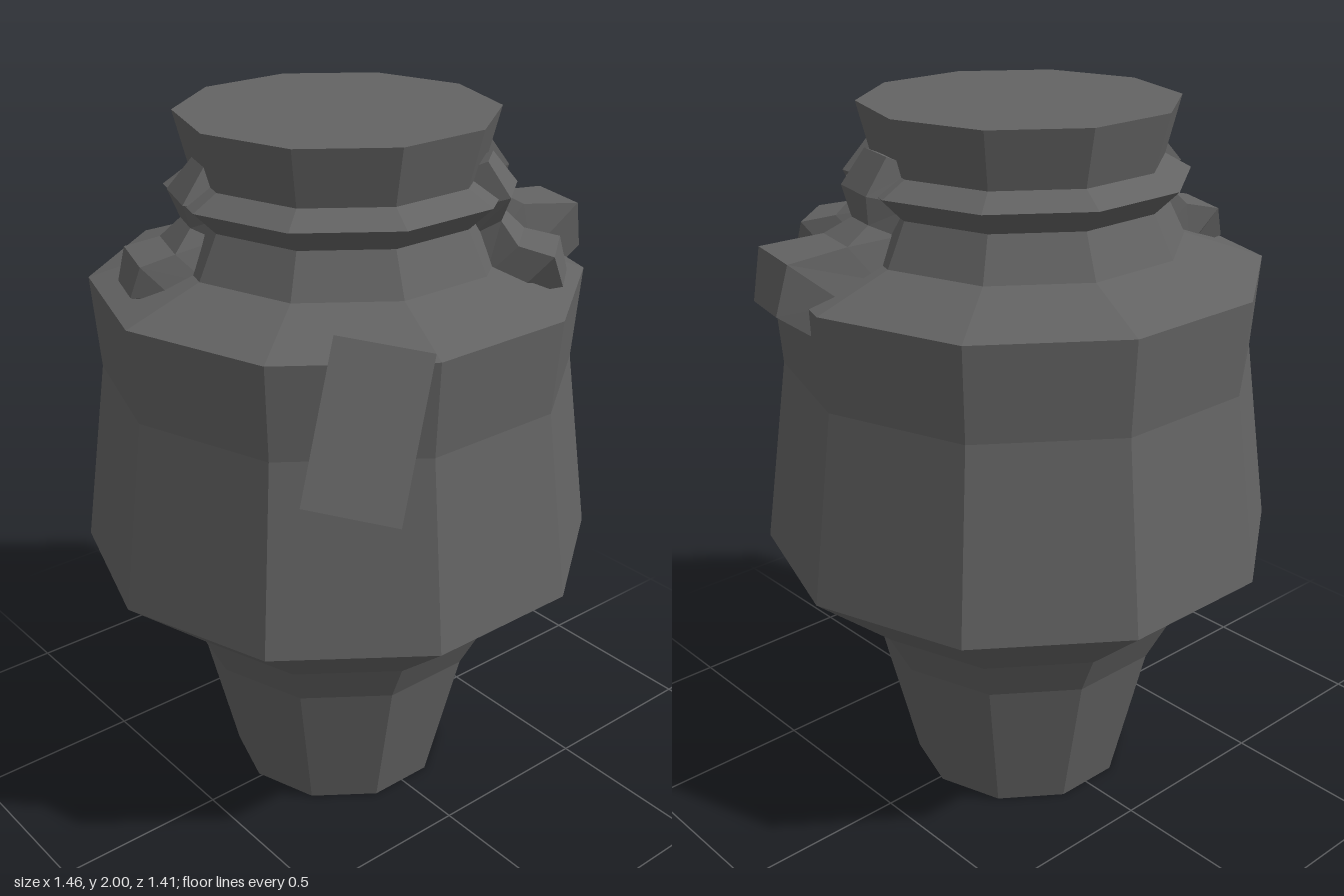
import * as THREE from 'three';

const material = new THREE.MeshStandardMaterial({ color: 0x636363, flatShading: true, side: THREE.DoubleSide });

function addMesh(group, geometry, name) {
  const mesh = new THREE.Mesh(geometry, material);
  mesh.name = name;
  group.add(mesh);
  return mesh;
}

// Skin four-cornered sections [outerR, outerY, innerR, innerY, halfWidth], listed from top to bottom
function loft(sections) {
  const positions = [];
  const index = [];
  for (const [ro, yo, ri, yi, w] of sections) {
    positions.push(ro, yo, w, ro, yo, -w, ri, yi, -w, ri, yi, w);
  }
  for (let s = 0; s < sections.length - 1; s++) {
    for (let k = 0; k < 4; k++) {
      const a = s * 4 + k, b = s * 4 + (k + 1) % 4;
      index.push(a, a + 4, b, b, a + 4, b + 4);
    }
  }
  const e = (sections.length - 1) * 4;
  index.push(0, 1, 2, 0, 2, 3, e, e + 2, e + 1, e, e + 3, e + 2);
  const geometry = new THREE.BufferGeometry();
  geometry.setAttribute('position', new THREE.Float32BufferAttribute(positions, 3));
  geometry.setIndex(index);
  geometry.computeVertexNormals();
  return geometry;
}

export function createModel() {
  const model = new THREE.Group();
  model.name = 'jar';

  // Ten-sided jar body with foot, shoulder, collar ring and flat lid
  const profile = [
    [0, 0], [0.315, 0], [0.42, 0.43], [0.485, 0.555], [0.728, 0.76], [0.655, 1.29], [0.675, 1.55],
    [0.452, 1.625], [0.395, 1.74], [0.462, 1.805], [0.39, 1.845], [0.43, 2], [0, 2],
  ].map(([r, y]) => new THREE.Vector2(r, y));
  const body = addMesh(model, new THREE.LatheGeometry(profile, 10, Math.PI / 2), 'body');
  body.position.set(-0.004, 0, -0.012);

  // Knots hanging over the collar: upper block, narrow waist, lower block bent down
  const largeKnot = [
    [0.41, 1.9, 0.32, 1.86, 0.065], [0.475, 1.81, 0.34, 1.77, 0.075], [0.46, 1.73, 0.38, 1.69, 0.05],
    [0.53, 1.69, 0.45, 1.59, 0.075], [0.7, 1.675, 0.55, 1.55, 0.095], [0.73, 1.54, 0.6, 1.445, 0.075],
  ];
  const smallKnot = [
    [0.39, 1.895, 0.31, 1.86, 0.055], [0.455, 1.81, 0.33, 1.77, 0.08], [0.43, 1.74, 0.36, 1.7, 0.05],
    [0.48, 1.685, 0.4, 1.6, 0.08], [0.575, 1.665, 0.49, 1.57, 0.09], [0.6, 1.58, 0.5, 1.555, 0.07],
  ];
  const knots = [
    ['leftKnot', largeKnot, 12],
    ['frontKnot', smallKnot, 51],
    ['rightKnot', smallKnot, 199],
  ];
  for (const [name, sections, degrees] of knots) {
    addMesh(model, loft(sections), name).rotation.y = -THREE.MathUtils.degToRad(degrees);
  }

  // Thin paper tag leaning on the front right shoulder
  const tag = new THREE.BufferGeometry();
  tag.setAttribute('position', new THREE.Float32BufferAttribute([
    -0.41, 1.62, 0.47, -0.57, 1.245, 0.54, -0.395, 1.2, 0.705, -0.235, 1.58, 0.635,
  ], 3));
  tag.setIndex([0, 1, 2, 0, 2, 3]);
  tag.computeVertexNormals();
  addMesh(model, tag, 'tag');

  return model;
}
